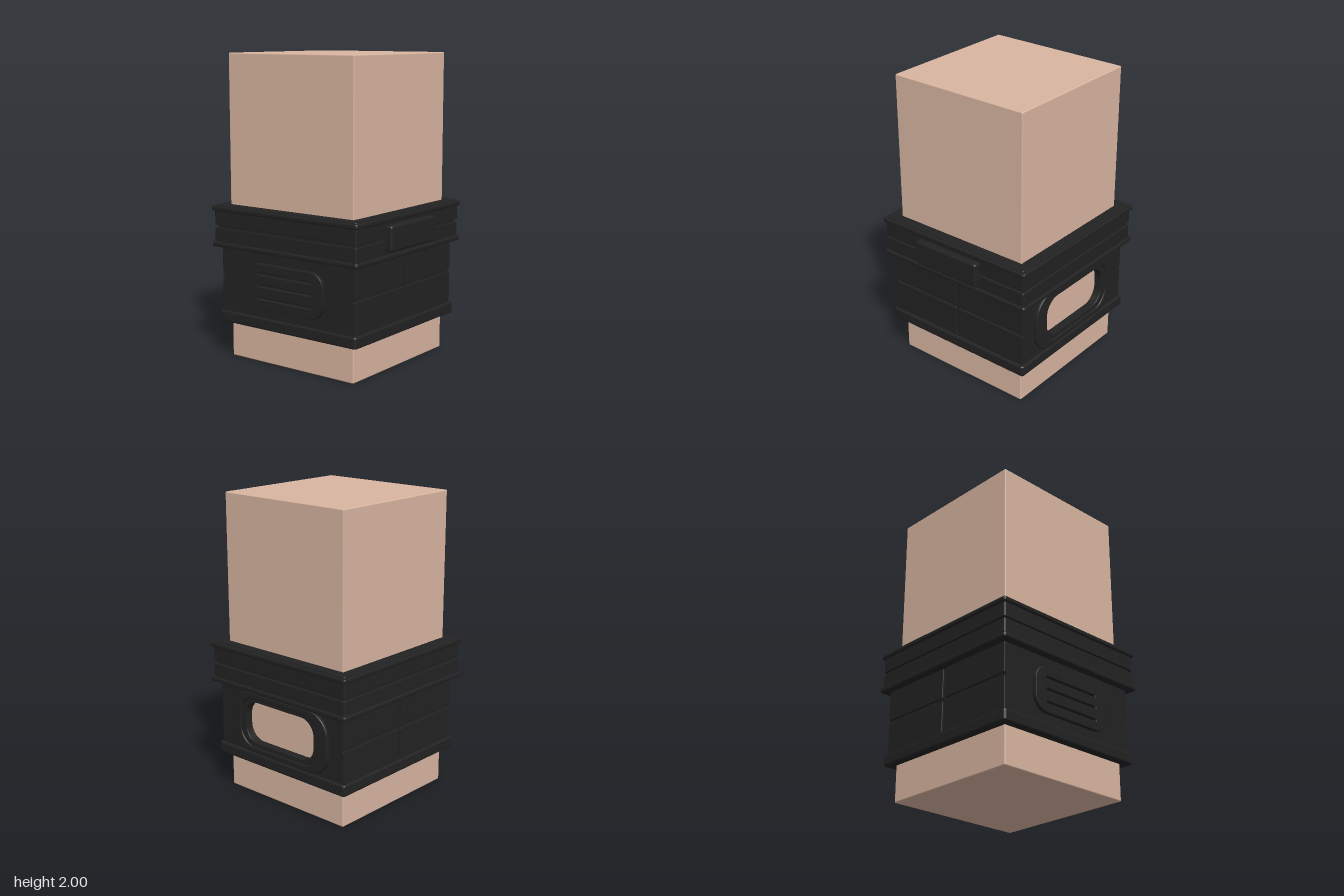
import * as THREE from 'three';
import { RoundedBoxGeometry } from 'three/addons/geometries/RoundedBoxGeometry.js';

const skin = new THREE.MeshStandardMaterial({ color: 0xd8b5a0 });
skin.name = 'skin';
const black = new THREE.MeshStandardMaterial({ color: 0x222222 });
black.name = 'black';

const INNER = 0.498; // half width of the opening around the block

function roundedRect(Type, w, h, r) {
  const p = new Type(), x = w / 2, y = h / 2;
  p.moveTo(-x + r, -y);
  p.lineTo(x - r, -y);
  p.absarc(x - r, -y + r, r, -Math.PI / 2, 0);
  p.lineTo(x, y - r);
  p.absarc(x - r, y - r, r, 0, Math.PI / 2);
  p.lineTo(-x + r, y);
  p.absarc(-x + r, y - r, r, Math.PI / 2, Math.PI);
  p.lineTo(-x, -y + r);
  p.absarc(-x + r, -y + r, r, Math.PI, Math.PI * 1.5);
  return p;
}

// Bevelled plate in the XY plane from z = 0 to z = depth, w by h overall
function plate(w, h, r, depth, bevel, hole) {
  const shape = roundedRect(THREE.Shape, w - 2 * bevel, h - 2 * bevel, r - bevel);
  if (hole) shape.holes.push(hole);
  const geo = new THREE.ExtrudeGeometry(shape, {
    depth: depth - 2 * bevel, bevelEnabled: bevel > 0, bevelSize: bevel,
    bevelThickness: bevel, bevelSegments: 3, curveSegments: 8,
  });
  return geo.translate(0, 0, bevel);
}

export function createModel() {
  const model = new THREE.Group();
  model.name = 'model';
  const body = new THREE.Group();
  body.position.x = -0.016;
  model.add(body);

  function add(name, geo, x = 0, y = 0, z = 0, mat = black) {
    const mesh = new THREE.Mesh(geo, mat);
    mesh.name = name;
    mesh.position.set(x, y, z);
    body.add(mesh);
    return mesh;
  }

  // Square collar around the block from y0 to y1
  function collar(name, half, y0, y1, bevel) {
    const open = 2 * (INNER + bevel);
    const hole = roundedRect(THREE.Path, open, open, 0.005);
    const geo = plate(2 * half, 2 * half, bevel + 0.008, y1 - y0, bevel, hole);
    add(name, geo.rotateX(-Math.PI / 2), 0, y0);
  }

  // Block
  add('block', new RoundedBoxGeometry(0.998, 2, 0.998, 2, 0.008), 0, 1, 0, skin);

  // Bottom rim and grooved upper belt
  collar('bottomRim', 0.56, 0.24, 0.315, 0.012);
  collar('beltLowerRim', 0.59, 0.745, 0.777, 0.01);
  collar('beltLowerBand', 0.575, 0.765, 0.868, 0.004);
  collar('beltGroove', 0.56, 0.86, 0.895, 0);
  collar('beltUpperBand', 0.575, 0.887, 0.99, 0.004);
  collar('beltUpperRim', 0.59, 0.982, 1.014, 0.01);
  collar('topLip', 0.57, 1.0, 1.022, 0.006);

  // Side walls with raised tiles leaving cross-shaped grooves
  for (const s of [-1, 1]) {
    add('sideWall', new THREE.BoxGeometry(0.029, 0.46, 1.054), s * 0.5125, 0.53, 0);
    for (const t of [-1, 1]) {
      for (const [y0, y1] of [[0.3, 0.525], [0.548, 0.75]]) {
        add('sideTile', new RoundedBoxGeometry(0.026, y1 - y0, 0.527, 2, 0.004),
          s * 0.527, (y0 + y1) / 2, t * 0.2765);
      }
    }
    add('grooveFoot', new THREE.BoxGeometry(0.02, 0.035, 0.04), s * 0.53, 0.313, 0);
  }

  // Front wall with a slotted panel
  add('frontWall', new THREE.BoxGeometry(1.054, 0.46, 0.042), 0, 0.53, 0.519);
  const panel = roundedRect(THREE.Shape, 0.61, 0.285, 0.09);
  for (const y of [0.605, 0.528, 0.445]) {
    const slot = new THREE.Path();
    const c = y - 0.525, h = 0.012;
    slot.moveTo(-0.22, c - h);
    slot.lineTo(0.22, c - h);
    slot.lineTo(0.22, c + h);
    slot.lineTo(-0.22, c + h);
    slot.closePath();
    panel.holes.push(slot);
  }
  const panelGeo = new THREE.ExtrudeGeometry(panel, {
    depth: 0.02, bevelSize: 0.005, bevelThickness: 0.005, bevelSegments: 2, curveSegments: 8,
  });
  add('frontPanel', panelGeo, 0, 0.525, 0.54);

  // Back wall with an open window and raised frame
  const backWall = plate(1.054, 0.46, 0.002, 0.042, 0, roundedRect(THREE.Path, 0.6, 0.28, 0.11));
  add('backWall', backWall, 0, 0.53, -0.54);
  const outer = plate(0.84, 0.41, 0.15, 0.03, 0.008, roundedRect(THREE.Path, 0.7, 0.35, 0.13));
  add('windowFrame', outer, 0, 0.527, -0.562);
  const inner = plate(0.72, 0.36, 0.13, 0.02, 0.004, roundedRect(THREE.Path, 0.608, 0.288, 0.11));
  add('windowInnerFrame', inner, 0, 0.53, -0.552);

  // Buckle on the left side of the belt
  add('buckle', new RoundedBoxGeometry(0.07, 0.165, 0.5, 3, 0.015), 0.585, 0.88, 0.02);

  return model;
}
